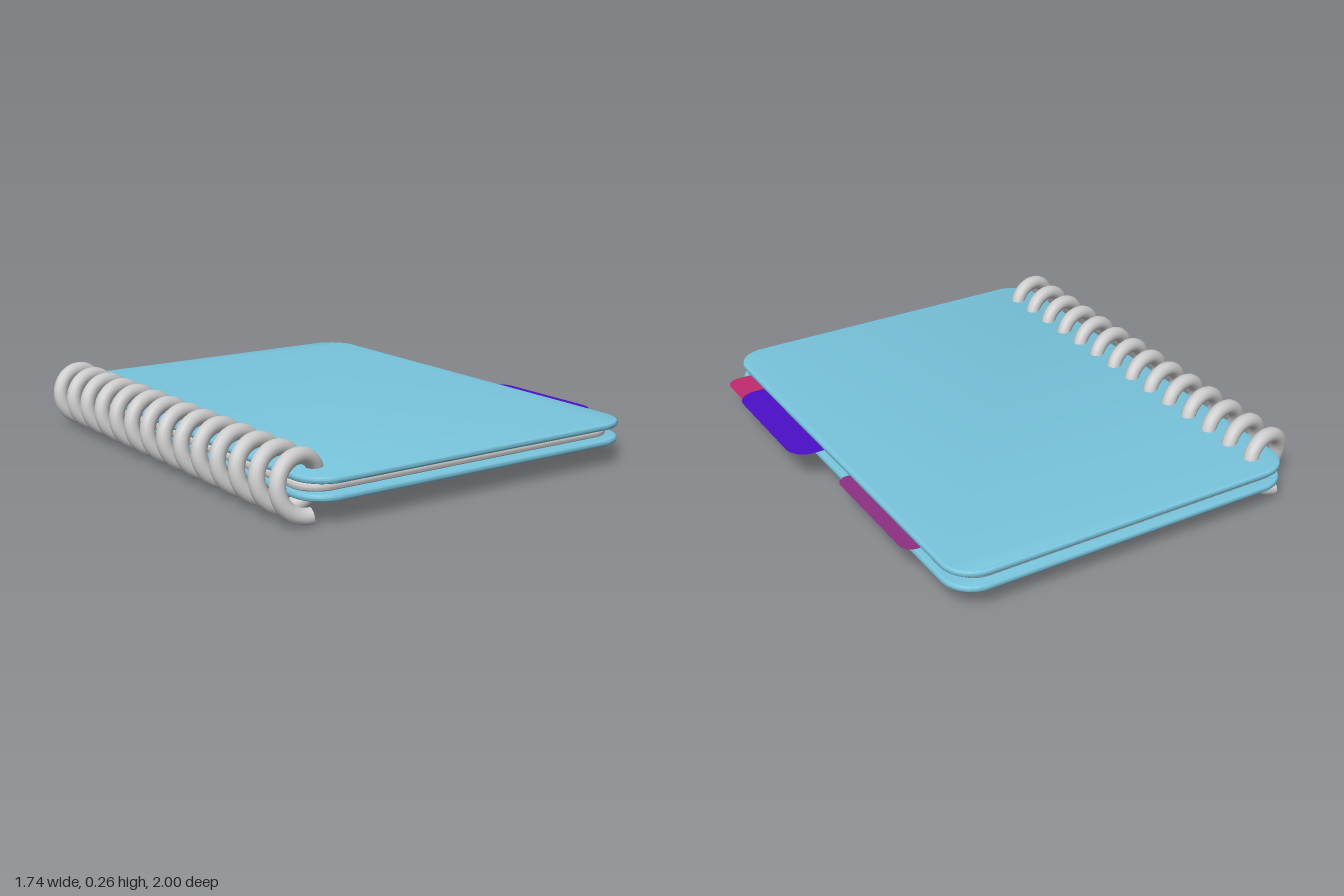
import * as THREE from 'three';
import { toCreasedNormals } from 'three/addons/utils/BufferGeometryUtils.js';

const material = (color, side = THREE.FrontSide) => new THREE.MeshStandardMaterial({ color, side });

// Rectangle with rounded corners, drawn in plan: x across, z as depth
function roundedRect(x0, x1, z0, z1, r) {
  const s = new THREE.Shape();
  s.absarc(x1 - r, -z0 - r, r, 0, Math.PI / 2);
  s.absarc(x0 + r, -z0 - r, r, Math.PI / 2, Math.PI);
  s.absarc(x0 + r, -z1 + r, r, Math.PI, Math.PI * 1.5);
  s.absarc(x1 - r, -z1 + r, r, Math.PI * 1.5, Math.PI * 2);
  s.closePath();
  return s;
}

// Flat slab with softly rolled edges, lying between y0 and y1
function slab(name, x0, x1, z, y0, y1, r, bevel, mat) {
  const shape = roundedRect(x0 + bevel, x1 - bevel, -z + bevel, z - bevel, r - bevel);
  const geo = new THREE.ExtrudeGeometry(shape, {
    depth: y1 - y0 - 2 * bevel, bevelSize: bevel, bevelThickness: bevel, bevelSegments: 4, curveSegments: 16,
  });
  geo.translate(0, 0, bevel).rotateX(-Math.PI / 2).translate(0, y0, 0);
  const mesh = new THREE.Mesh(toCreasedNormals(geo, 0.6), mat);
  mesh.name = name;
  return mesh;
}

// Helix running along z, starting and ending underneath
class CoilCurve extends THREE.Curve {
  getPoint(t, target = new THREE.Vector3()) {
    const turns = 14, a = -0.15 + t * (turns * Math.PI * 2 + 0.2);
    return target.set(-0.74 - 0.1 * Math.sin(a), 0.131 - 0.1 * Math.cos(a), 0.935 - 0.1325 * a / (Math.PI * 2));
  }
}

export function createModel() {
  const group = new THREE.Group();
  const grey = material(0xcccccc);
  const blue = material(0x78c4dc);

  // Covers and page block
  group.add(slab('backCover', -0.765, 0.745, 1, 0.085, 0.111, 0.13, 0.01, blue));
  group.add(slab('frontCover', -0.765, 0.745, 1, 0.148, 0.174, 0.13, 0.01, blue));
  group.add(slab('pages', -0.76, 0.705, 0.965, 0.114, 0.146, 0.11, 0.012, grey));

  // Spiral binding with closed ends
  const curve = new CoilCurve();
  const coil = new THREE.Group();
  coil.name = 'spiralBinding';
  coil.add(new THREE.Mesh(new THREE.TubeGeometry(curve, 560, 0.031, 14), grey));
  for (const t of [0, 1]) {
    const cap = new THREE.Mesh(new THREE.CircleGeometry(0.031, 14), grey);
    cap.name = 'coilEnd';
    const out = curve.getTangent(t).multiplyScalar(t ? 1 : -1);
    cap.position.copy(curve.getPoint(t));
    cap.quaternion.setFromUnitVectors(new THREE.Vector3(0, 0, 1), out);
    coil.add(cap);
  }
  coil.children[0].name = 'coilWire';
  group.add(coil);

  // Thin index tabs between the pages
  const tabs = [
    ['upperTab', 0.79, -0.7, -0.12, 0.05, 0.13, 0x8c2f84],
    ['middleTab', 0.865, 0.09, 0.695, 0.085, 0.14, 0x4a0fc8],
    ['lowerTab', 0.84, 0.28, 0.875, 0.06, 0.122, 0xc02a6e],
  ];
  for (const [name, x1, z0, z1, r, y, color] of tabs) {
    const geo = new THREE.ShapeGeometry(roundedRect(0.5, x1, z0, z1, r), 12);
    geo.rotateX(-Math.PI / 2).translate(0, y, 0);
    const tab = new THREE.Mesh(geo, material(color, THREE.DoubleSide));
    tab.name = name;
    group.add(tab);
  }
  return group;
}
